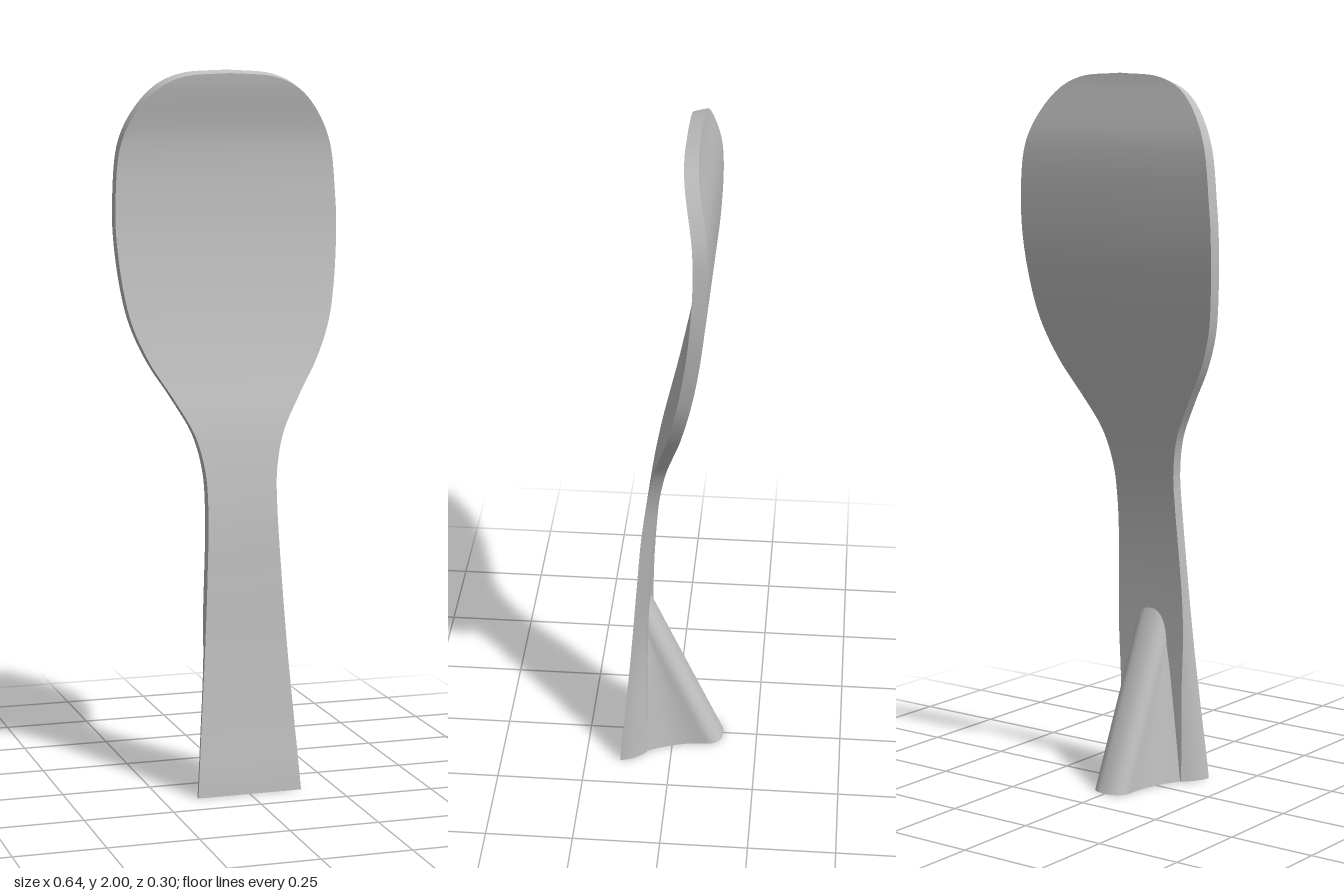
import * as THREE from 'three';

const V = (x, y, z) => new THREE.Vector3(x, y, z);
const { lerp, smoothstep } = THREE.MathUtils;

// Smooth surface through rows of points
function grid(rows) {
  const n = rows[0].length, index = [];
  for (let i = 0; i < rows.length - 1; i++) {
    for (let j = 0; j < n - 1; j++) {
      const a = i * n + j, d = a + n;
      index.push(a, a + 1, d + 1, a, d + 1, d);
    }
  }
  const geo = new THREE.BufferGeometry().setFromPoints(rows.flat());
  geo.setIndex(index);
  geo.computeVertexNormals();
  return geo;
}

// Flat downward cap from a centre to a loop
const cap = (loop, centre) => grid([loop.map(() => centre), loop]);

// Depth curve with one value every 0.2 in height
function depthCurve(values) {
  const spline = new THREE.SplineCurve(values.map((z, i) => new THREE.Vector2(i * 0.2, z)));
  return y => spline.getPoint(Math.min(1, y / 2)).y;
}
const frontZ = depthCurve([0.148, 0.13, 0.113, 0.098, 0.081, 0.049, -0.002, -0.043, -0.067, -0.07, -0.035]);
const backZ = depthCurve([0.072, 0.072, 0.071, 0.064, 0.047, 0.016, -0.037, -0.08, -0.105, -0.108, -0.072]);

// Half outline seen from the front: half width, height
const outline = new THREE.CatmullRomCurve3([
  [0.15, 0], [0.135, 0.2], [0.12, 0.4], [0.108, 0.6], [0.1, 0.8], [0.104, 0.9], [0.128, 1],
  [0.182, 1.1], [0.243, 1.2], [0.285, 1.3], [0.306, 1.4], [0.32, 1.55], [0.319, 1.65],
  [0.302, 1.8], [0.258, 1.89], [0.2, 1.95], [0.13, 1.98], [0, 1.99],
].map(([x, y]) => V(x, y, 0))).getPoints(136);

// Point on the rim; t runs from the front edge to the back edge
function rim(p, t, side) {
  const backW = lerp(Math.min(0.107, p.x), p.x, smoothstep(p.y, 0.25, 0.6));
  const tilt = 0.01 * smoothstep(p.y, 1.5, 2);
  return V(side * lerp(p.x, backW, t * t), p.y + tilt * t, lerp(frontZ(p.y), backZ(p.y), t));
}

const steps = [0, 0.2, 0.4, 0.6, 0.8, 1];
const across = [-1, -0.5, 0, 0.5, 1];

// Row across a face, between mirrored rim points
const faceRow = (p, t, dir) => across.map(s => {
  const e = rim(p, t, 1);
  return V(e.x * s * dir, e.y, e.z);
});

// Cross-section of the rear stand, from one root round the tip to the other
function standSection(y) {
  const k = y / 0.5, root = 0.085;
  const tip = lerp(-0.149, 0.071, k), shoulder = tip + 0.045;
  const rootW = lerp(0.11, 0.056, k);
  const half = [];
  for (let i = 0; i < 6; i++) {
    const t = i / 6;
    half.push([lerp(rootW, 0.055, 1 - (1 - t) ** 2), lerp(root, shoulder, t)]);
  }
  for (let i = 0; i <= 8; i++) {
    const a = i / 8 * Math.PI / 2;
    half.push([0.055 * Math.cos(a) ** 0.8, shoulder - 0.045 * Math.sin(a)]);
  }
  const right = half.map(([x, z]) => V(Math.max(0, x), y, Math.min(root, z)));
  return [...right, ...right.slice(0, -1).reverse().map(p => V(-p.x, y, p.z))];
}

export function createModel() {
  const model = new THREE.Group();
  model.name = 'paddle';
  const grey = new THREE.MeshStandardMaterial({ color: 0xc0c0c0 });
  grey.name = 'light grey';
  const add = (parent, name, geo) => {
    const mesh = new THREE.Mesh(geo, grey);
    mesh.name = name;
    parent.add(mesh);
  };

  // Curved blade and handle
  const body = new THREE.Group();
  body.name = 'bladeAndHandle';
  add(body, 'frontFace', grid(outline.map(p => faceRow(p, 0, 1))));
  add(body, 'backFace', grid(outline.map(p => faceRow(p, 1, -1))));
  const sideRows = side => outline.map(p => steps.map(t => rim(p, t, side)));
  add(body, 'rim', grid([...sideRows(1), ...sideRows(-1).reverse().slice(1)]));
  const foot = [
    ...steps.map(t => rim(outline[0], t, 1)),
    ...steps.map(t => rim(outline[0], t, -1)).reverse(),
  ];
  add(body, 'handleBase', cap([...foot, foot[0]], V(0, 0, 0.11)));

  // Tapering stand behind the handle
  const stand = new THREE.Group();
  stand.name = 'rearStand';
  const sections = [];
  for (let i = 0; i <= 20; i++) sections.push(standSection(i * 0.025));
  add(stand, 'standSurface', grid(sections));
  add(stand, 'standBase', cap(sections[0], V(0, 0, 0.08)));

  model.add(body, stand);
  return model;
}
